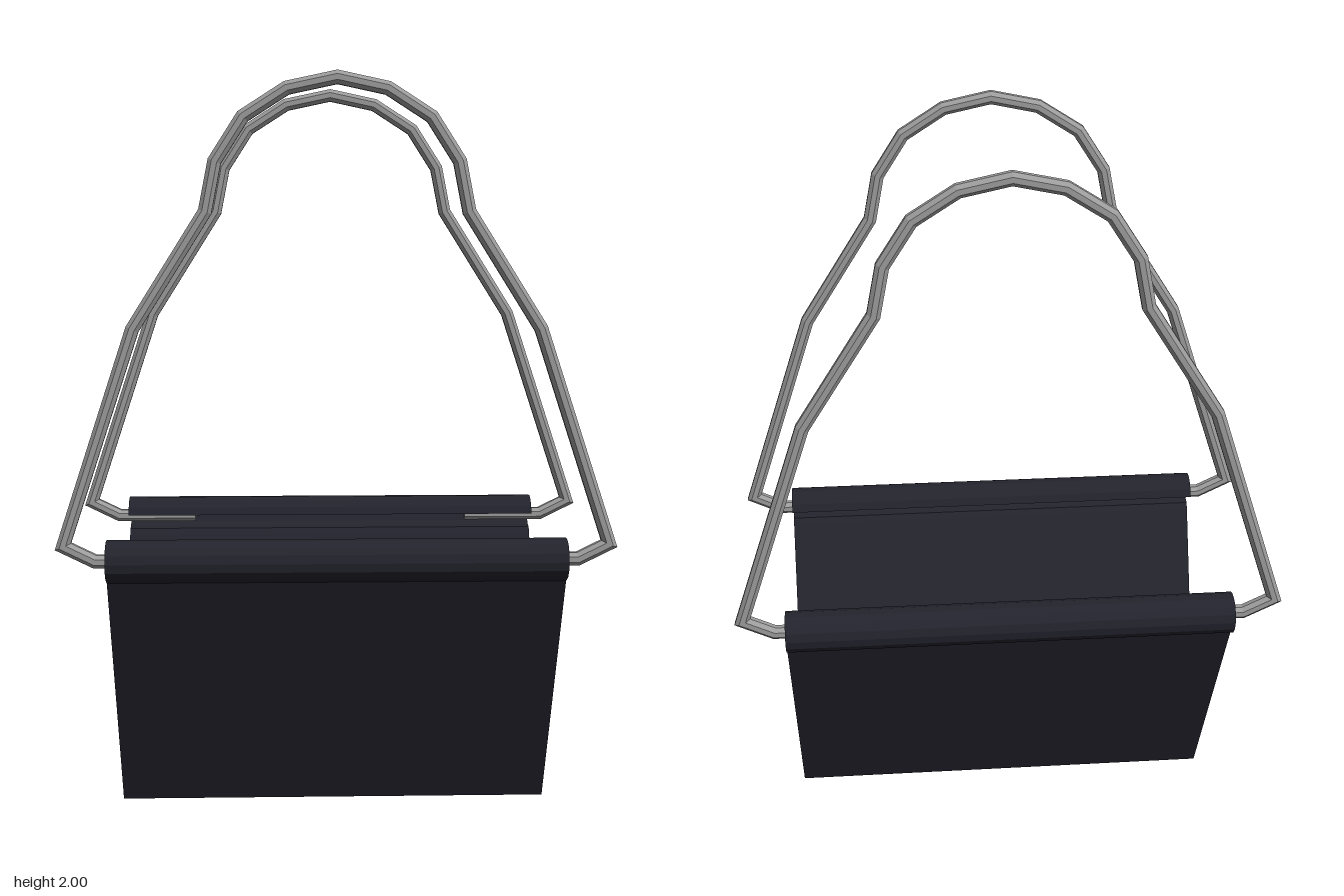
import * as THREE from 'three';

// Sweep an eight-sided rod along a planar xy path with mitred corners
function rodGeometry(path, radius, sides) {
  const pos = [], index = [];
  const pts = path.map(p => new THREE.Vector2(...p));
  const last = pts.length - 1;
  pts.forEach((p, i) => {
    const a = pts[Math.max(i - 1, 0)], b = pts[Math.min(i + 1, last)];
    const d1 = (i ? p.clone().sub(a) : b.clone().sub(p)).normalize();
    const d2 = (i < last ? b.clone().sub(p) : d1.clone()).normalize();
    const t = d1.clone().add(d2).normalize();
    const widen = 1 / Math.max(t.dot(d1), 0.5);
    for (let s = 0; s < sides; s++) {
      const ang = ((s + 0.5) / sides) * Math.PI * 2;
      const n = Math.cos(ang) * radius * widen;
      pos.push(p.x - t.y * n, p.y + t.x * n, Math.sin(ang) * radius);
    }
  });
  for (let i = 0; i < last; i++) {
    for (let s = 0; s < sides; s++) {
      const a = i * sides + s, b = i * sides + (s + 1) % sides;
      index.push(a, b, a + sides, b, b + sides, a + sides);
    }
  }
  // End caps
  for (let s = 1; s < sides - 1; s++) {
    const e = last * sides;
    index.push(0, s + 1, s, e, e + s, e + s + 1);
  }
  const g = new THREE.BufferGeometry();
  g.setAttribute('position', new THREE.Float32BufferAttribute(pos, 3));
  g.setIndex(index);
  const flat = g.toNonIndexed();
  flat.computeVertexNormals();
  return flat;
}

// V-shaped sling with a curled hook along each top edge, in (z, y)
function slingGeometry(width) {
  const cz = 0.337, cy = 0.757, steps = 10;
  const arc = (r, from, to) => Array.from({ length: steps + 1 }, (_, i) => {
    const a = THREE.MathUtils.degToRad(from + (to - from) * i / steps);
    return [cz + r * Math.cos(a), cy + r * Math.sin(a)];
  });
  const half = [
    [0, 0],
    [0.343, 0.7],
    ...arc(0.055, -72, 172),
    ...arc(0.041, 172, -92),
    [0.325, 0.7],
    [0, 0.022],
  ];
  const mirrored = half.slice(1, -1).reverse().map(([z, y]) => [-z, y]);
  const shape = new THREE.Shape([...half, ...mirrored].map(p => new THREE.Vector2(...p)));
  const g = new THREE.ExtrudeGeometry(shape, { depth: width, bevelEnabled: false });
  g.translate(0, 0, -width / 2);
  g.rotateY(-Math.PI / 2);
  return g;
}

export function createModel() {
  const model = new THREE.Group();
  model.name = 'slingRack';

  const fabric = new THREE.MeshStandardMaterial({ color: 0x23232d });
  fabric.name = 'dark sling';
  const steel = new THREE.MeshStandardMaterial({ color: 0x9c9c9c });
  steel.name = 'grey steel';

  const sling = new THREE.Mesh(slingGeometry(1.19), fabric);
  sling.name = 'sling';
  model.add(sling);

  // Wire handles: each end turns inward and rests inside the hook
  const side = [
    [0.4, 0.757], [0.625, 0.757], [0.706, 0.797], [0.52, 1.355], [0.333, 1.65],
    [0.308, 1.775], [0.237, 1.885], [0.127, 1.955],
  ];
  const path = [...side, [0, 1.982], ...side.slice().reverse().map(([x, y]) => [-x, y])];
  const handleGeometry = rodGeometry(path, 0.0185, 8);
  for (const [name, z] of [['frontHandle', 0.335], ['backHandle', -0.335]]) {
    const handle = new THREE.Mesh(handleGeometry, steel);
    handle.name = name;
    handle.position.z = z;
    model.add(handle);
  }
  return model;
}
